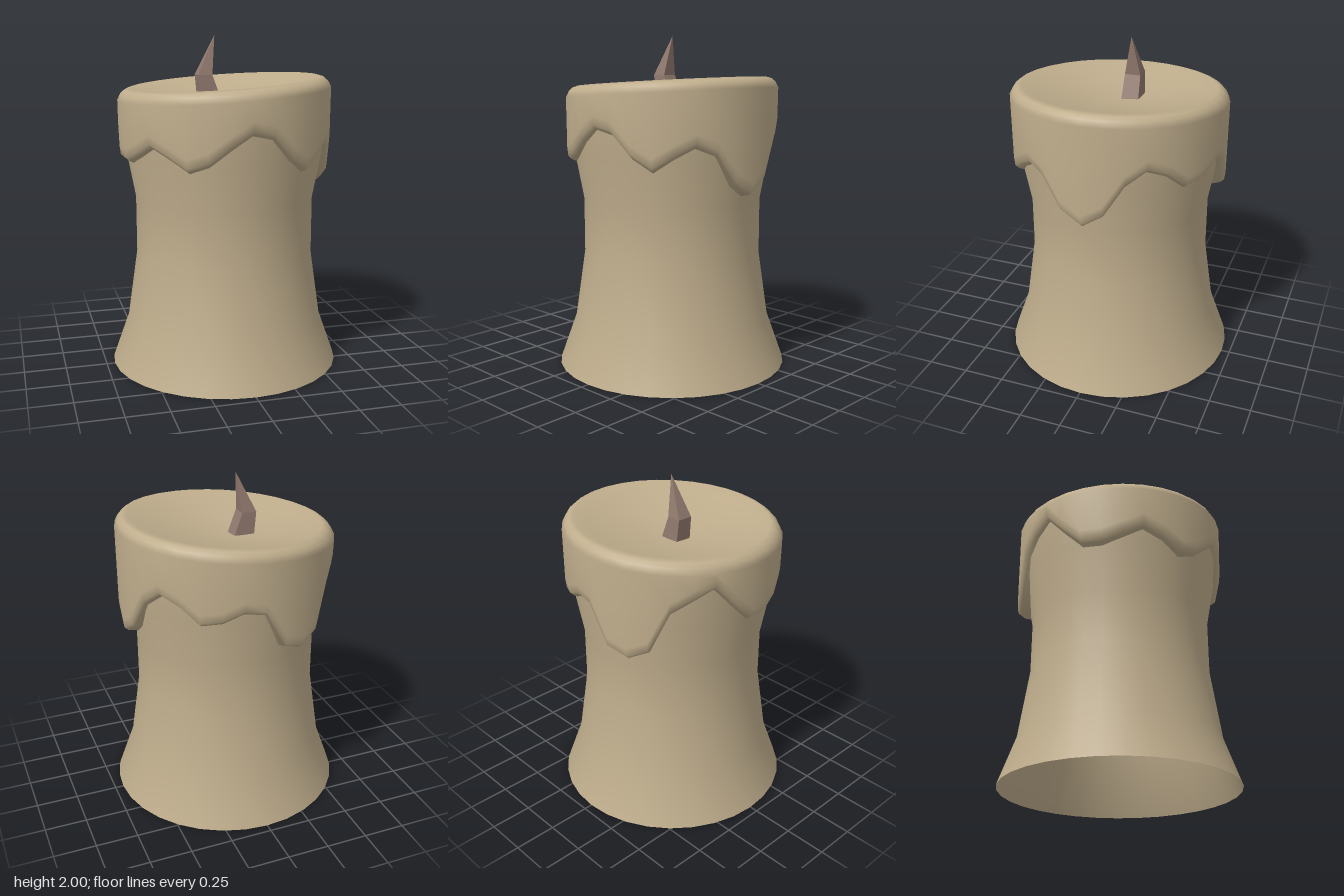
import * as THREE from 'three';
import { mergeVertices } from 'three/addons/utils/BufferGeometryUtils.js';

const SIDES = 32;

// Candle body outline (radius, height), open at the bottom
const BODY = [[0.70, 0], [0.60, 0.28], [0.54, 0.69], [0.54, 1.03], [0.59, 1.30], [0.605, 1.56]];

// Height of the dripping edge, going round from the front towards +x
const DRIP = [
  1.48, 1.455, 1.33, 1.255, 1.33, 1.39, 1.345, 1.17,
  1.10, 1.175, 1.36, 1.445, 1.40, 1.305, 1.325, 1.38,
  1.36, 1.14, 1.10, 1.155, 1.40, 1.47, 1.53, 1.405,
  1.29, 1.285, 1.33, 1.39, 1.34, 1.27, 1.31, 1.40,
];

function bodyRadius(y) {
  for (let i = 1; i < BODY.length; i++) {
    const [r0, y0] = BODY[i - 1], [r1, y1] = BODY[i];
    if (y <= y1) return r0 + (r1 - r0) * (y - y0) / (y1 - y0);
  }
  return BODY[BODY.length - 1][0];
}

const lathe = (points) =>
  new THREE.LatheGeometry(points.map(([r, y]) => new THREE.Vector2(r, y)), SIDES);

function smooth(geometry) {
  geometry.deleteAttribute('uv');
  geometry.deleteAttribute('normal');
  const merged = mergeVertices(geometry, 1e-4);
  merged.computeVertexNormals();
  return merged;
}

// Wax cap: the lower rings follow the drips, the upper rings follow the tilted top
function waxCapGeometry() {
  const lower = [[0, -0.015], [0.61, 0], [0.632, 0.02], [0.638, 0.07]];
  const upper = [[0.64, -0.065], [0.622, -0.03], [0.60, -0.01], [0.57, 0], [0.50, -0.03], [0.25, -0.075], [0, -0.1]];
  const rings = [...lower, ...upper];
  const geometry = lathe(rings);
  const pos = geometry.attributes.position;
  for (let i = 0; i <= SIDES; i++) {
    const angle = (i % SIDES) / SIDES * Math.PI * 2;
    const edge = DRIP[i % SIDES];
    rings.forEach(([ringRadius, offset], j) => {
      const r = j === 0 ? bodyRadius(edge + offset) - 0.005 : ringRadius;
      const x = r * Math.sin(angle), z = r * Math.cos(angle);
      const y = j < lower.length ? edge + offset : 1.727 + 0.066 * x + offset;
      pos.setXYZ(i * rings.length + j, x, y, z);
    });
  }
  return smooth(geometry);
}

// Bent square wick: foot, elbow and pointed tip
function wickGeometry() {
  const ring = (x0, x1, z0, z1, y) => [[x0, y, z1], [x1, y, z1], [x1, y, z0], [x0, y, z0]];
  const foot = ring(-0.14, -0.01, -0.105, 0, 1.60);
  const elbow = ring(-0.157, -0.07, -0.10, -0.005, 1.765);
  const tip = [-0.045, 2.0, -0.053];
  const corners = [];
  for (let i = 0; i < 4; i++) {
    const n = (i + 1) % 4;
    corners.push(foot[i], foot[n], elbow[n], foot[i], elbow[n], elbow[i]);
    corners.push(elbow[i], elbow[n], tip);
  }
  const geometry = new THREE.BufferGeometry();
  geometry.setAttribute('position', new THREE.Float32BufferAttribute(corners.flat(), 3));
  geometry.computeVertexNormals();
  return geometry;
}

export function createModel() {
  const wax = new THREE.MeshStandardMaterial({ name: 'wax', color: 0xbfad8c, side: THREE.DoubleSide });
  const charred = new THREE.MeshStandardMaterial({ name: 'charred wick', color: 0x927a6f, flatShading: true });

  const model = new THREE.Group();
  model.name = 'candle';
  const add = (name, geometry, material) => {
    const mesh = new THREE.Mesh(geometry, material);
    mesh.name = name;
    model.add(mesh);
  };
  add('candleBody', smooth(lathe(BODY)), wax);
  add('meltedWaxCap', waxCapGeometry(), wax);
  add('wick', wickGeometry(), charred);
  return model;
}
